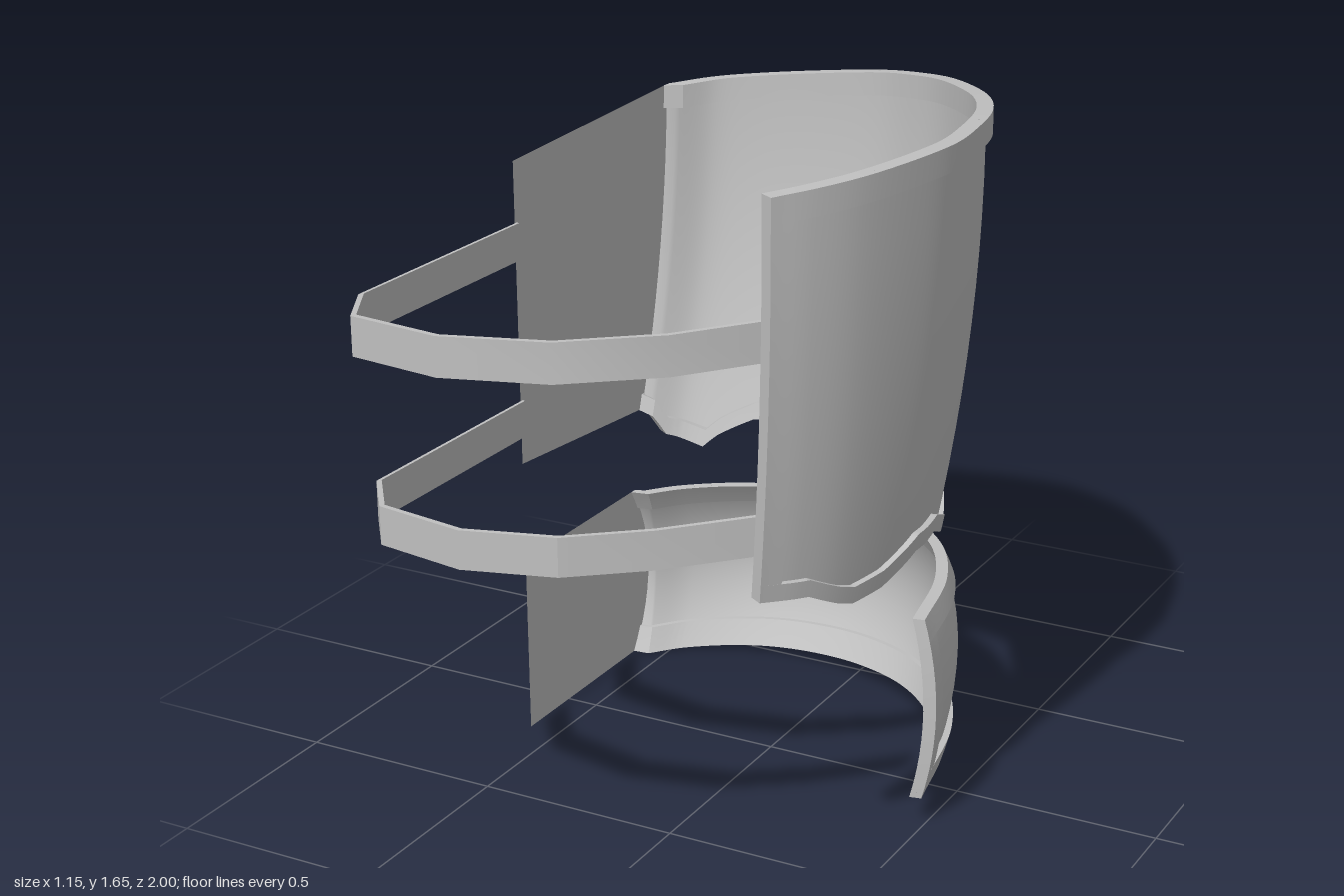
import * as THREE from 'three';
import { toCreasedNormals } from 'three/addons/utils/BufferGeometryUtils.js';

const SIDE = -0.58; // flat cut plane on the model's right

function build(pos, idx) {
  const g = new THREE.BufferGeometry();
  g.setAttribute('position', new THREE.Float32BufferAttribute(pos, 3));
  g.setIndex(idx);
  g.computeVertexNormals();
  return g;
}

// open sheet, point(u, v) with u along the wall and v upward
function sheet(point, nu, nv) {
  const pos = [], idx = [], row = nv + 1;
  for (let i = 0; i <= nu; i++)
    for (let j = 0; j <= nv; j++) pos.push(...point(i / nu, j / nv));
  for (let i = 0; i < nu; i++)
    for (let j = 0; j < nv; j++) {
      const a = i * row + j;
      idx.push(a, a + 1, a + row, a + 1, a + row + 1, a + row);
    }
  return build(pos, idx);
}

// closed slab swept along t, between heights lo(t) and hi(t) and two inward offsets
function slab(point, t0, t1, nt, lo, hi, ny, outer, inner) {
  const pos = [], idx = [], n = 2 * (ny + 1);
  for (let i = 0; i <= nt; i++) {
    const t = t0 + (t1 - t0) * i / nt, a = lo(t), b = hi(t);
    for (let k = 0; k < n; k++) {
      const j = k <= ny ? k : n - 1 - k;
      pos.push(...point(t, a + (b - a) * j / ny, k <= ny ? outer : inner));
    }
  }
  for (let i = 0; i < nt; i++)
    for (let k = 0; k < n; k++) {
      const a = i * n + k, b = i * n + (k + 1) % n;
      idx.push(a, b, a + n, b, b + n, a + n);
    }
  for (let j = 0; j < ny; j++) {
    const o = j, p = j + 1, q = n - 1 - j, r = n - 2 - j, e = nt * n;
    idx.push(o, q, p, p, q, r, e + o, e + p, e + q, e + p, e + r, e + q);
  }
  return toCreasedNormals(build(pos, idx), 0.4);
}

// curved wall: plan curve, inward offset, then a rule that shapes it by height
function wall(plan, shape) {
  const curve = new THREE.CatmullRomCurve3(plan.map(([x, z]) => new THREE.Vector3(x, 0, z)));
  return (t, y, off = 0) => {
    const p = curve.getPoint(t), d = curve.getTangent(t);
    const [x, z] = shape(p.x - d.z * off, p.z + d.x * off, y, p.x);
    return [t === 0 ? SIDE : Math.max(SIDE, x), y, z];
  };
}

// piecewise linear lookup in [key, value] pairs
function lookup(pairs, k) {
  let i = 1;
  while (i < pairs.length - 1 && pairs[i][0] < k) i++;
  const [a, va] = pairs[i - 1], [b, vb] = pairs[i];
  return va + (vb - va) * (k - a) / (b - a);
}

export function createModel() {
  const model = new THREE.Group();
  model.name = 'armGuard';
  const steel = new THREE.MeshStandardMaterial({ color: 0xc0c0c0, side: THREE.DoubleSide });
  steel.name = 'grey steel';
  const add = (name, geometry) => {
    const m = new THREE.Mesh(geometry, steel);
    m.name = name;
    model.add(m);
    return m;
  };

  // a wall with its raised border and the flat side panel
  function plate(name, P, lo, hi, o) {
    const mix = (a, b, v) => a + (b - a) * v;
    add(name + 'Wall', sheet((u, v) => P(u, mix(lo(u), hi(u), v), o.inset), 150, 12));
    add(name + 'TopRim', slab(P, 0, 1, 75, t => hi(t) - o.top, hi, 2, 0, o.depth));
    add(name + 'BottomRim', slab(P, 0, 1, 150, lo, t => lo(t) + o.bottom, 2, 0, o.depth));
    add(name + 'EndRim', slab(P, o.end, 1, 4, lo, hi, 12, 0, o.depth));
    add(name + 'SidePanel', sheet((u, v) => {
      const [, y, z] = P(0, mix(lo(0), hi(0), v), o.inset);
      const yEnd = mix(o.panel[0], o.panel[1], v);
      return [SIDE, mix(yEnd, y, u), mix(0.18, z, u)];
    }, 1, 12));
  }

  // upper guard, tapering downward with a jagged lower edge
  const upperPlan = [[-.58, -.55], [-.5, -.635], [-.4, -.67], [-.2, -.687], [-.03, -.67], [.1, -.61],
    [.2, -.54], [.32, -.41], [.42, -.27], [.5, -.1], [.55, .1], [.572, .25], [.56, .4],
    [.52, .58], [.47, .69], [.41, .78]];
  const jag = [[0, .66], [.5, .6], [1.7, .57], [2.5, .65], [3.3, .67], [4.2, .63], [5.2, .525],
    [6.3, .64], [7.1, .7], [8.7, .63], [10, .72], [11.1, .73], [12.1, .69], [12.7, .685],
    [13.8, .74], [15, .75]];
  const upper = wall(upperPlan, (x, z, y) => {
    const v = Math.min(1, (y - 0.6) / 0.95), f = (1 - v) ** 2;
    return [x > -0.2 ? -0.2 + (x + 0.2) * (1 - 0.1 * f) : x, 0.5 + (z - 0.5) * (1 - 0.165 * f)];
  });
  const upperTop = t => {
    const [x, , z] = upper(t, 1.6);
    return 1.568 + 0.13 * x + 0.02 * z;
  };
  plate('upper', upper, t => lookup(jag, t * 15), upperTop,
    { inset: 0.016, depth: 0.038, top: 0.058, bottom: 0.04, end: 14.5 / 15, panel: [0.7, 1.45] });

  // lower cuff, bulging at mid height
  const lowerPlan = [[-.58, -.42], [-.5, -.5], [-.35, -.58], [-.2, -.607], [0, -.58], [.2, -.48],
    [.36, -.31], [.47, -.08], [.53, .2]];
  const rise = x => 0.065 * (x - SIDE);
  const lower = wall(lowerPlan, (x, z, y, px) => {
    const s = ((y - rise(px)) / 0.225 - 1) ** 2;
    return [-0.2 + (x + 0.2) * (1 - 0.045 * s), 0.2 + (z - 0.2) * (1 - 0.12 * s)];
  });
  const lowerX = new THREE.CatmullRomCurve3(lowerPlan.map(([x, z]) => new THREE.Vector3(x, 0, z)));
  const lowerBottom = t => rise(lowerX.getPoint(t).x);
  plate('lower', lower, lowerBottom, t => lowerBottom(t) + 0.45,
    { inset: 0.016, depth: 0.03, top: 0.055, bottom: 0.06, end: 0.97, panel: [0, 0.45] });

  // six sided spike on the cuff
  const cone = new THREE.ConeGeometry(0.105, 0.46, 6).toNonIndexed();
  cone.rotateY(Math.PI / 6);
  cone.translate(0, 0.23, 0);
  cone.computeVertexNormals();
  const spike = add('spike', cone);
  spike.position.set(-0.185, 0.22, -0.577);
  spike.rotation.x = -1.167;

  // two faceted straps
  const straps = [
    ['upperStrap', 1.21, [[-.58, .17], [-.58, .8], [-.5, .94], [-.25, .997], [0, .95], [.2, .82], [.355, .645]]],
    ['lowerStrap', 0.77, [[-.58, .17], [-.58, .77], [-.48, .9], [-.24, .957], [-.02, .915], [.15, .8], [.325, .635]]],
  ];
  for (const [name, y0, pts] of straps) {
    const n = pts.length - 1;
    const P = (t, y, off) => {
      const [x, z] = pts[Math.round(t * n)];
      const k = 1 - off / 0.6;
      return [-0.2 + (x + 0.2) * k, y + 0.043 * (x - SIDE), 0.3 + (z - 0.3) * k];
    };
    add(name, slab(P, 0, 1, n, () => y0, () => y0 + 0.09, 1, 0, 0.012));
  }
  return model;
}
